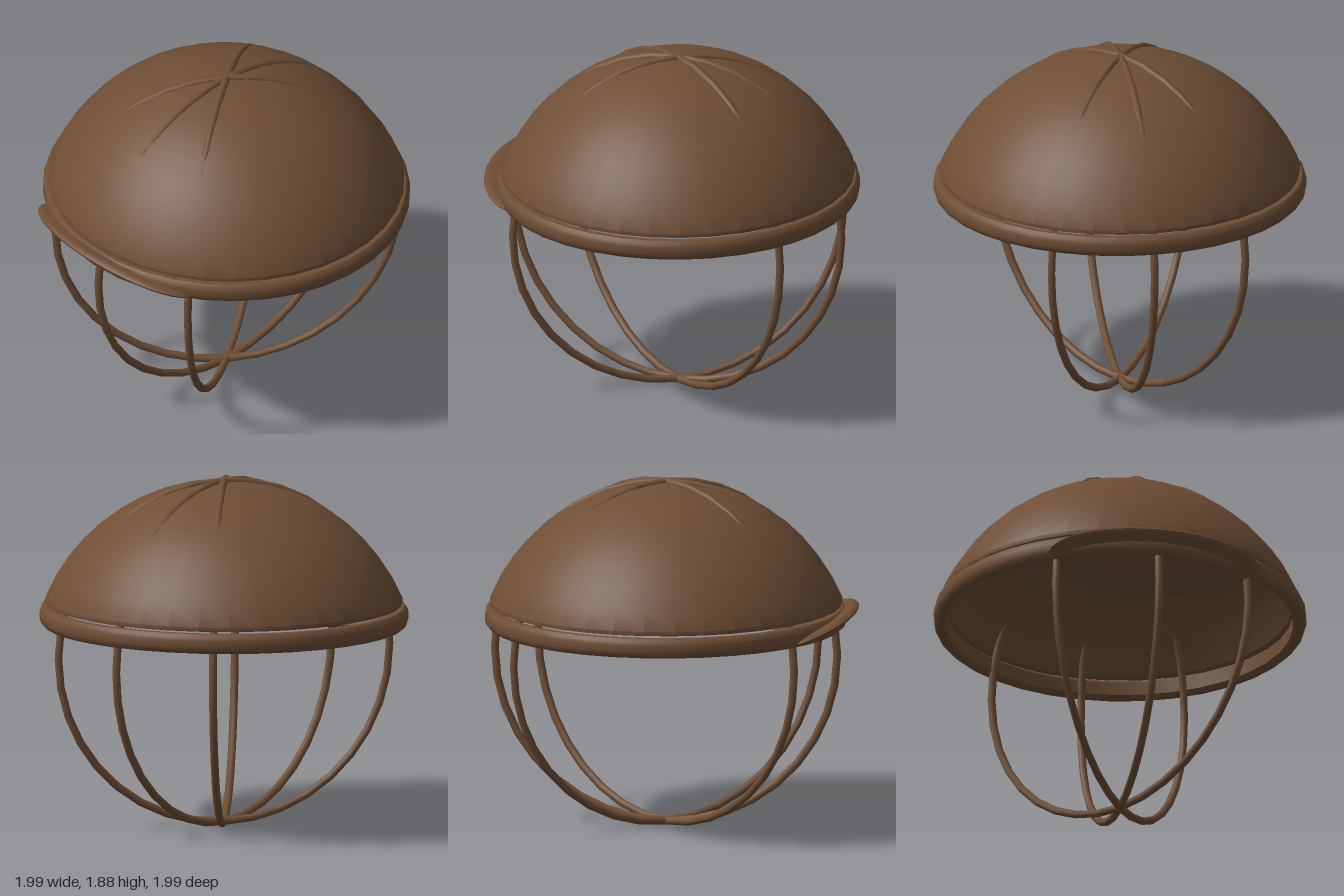
import * as THREE from 'three';
import { toCreasedNormals } from 'three/addons/utils/BufferGeometryUtils.js';

export function createModel() {
  const model = new THREE.Group();
  model.name = 'cagedHelmet';
  const brown = new THREE.MeshStandardMaterial({ color: 0x6f4e35 });
  brown.name = 'brown';

  // Everything but the brim sits slightly behind the middle
  const body = new THREE.Group();
  body.name = 'helmetBody';
  body.position.z = -0.028;
  model.add(body);

  const add = (parent, name, geometry) => {
    const mesh = new THREE.Mesh(geometry, brown);
    mesh.name = name;
    parent.add(mesh);
    return mesh;
  };
  const turned = (points, crease = 0.6) => toCreasedNormals(
    new THREE.LatheGeometry(points.map(([r, y]) => new THREE.Vector2(r, y)), 36), crease);

  // Points of a spherical cap, from its edge up to the pole
  const cap = (radius, centreY, edgeY, steps = 10) => {
    const start = Math.asin((edgeY - centreY) / radius);
    return Array.from({ length: steps + 1 }, (_, i) => {
      const a = start + (Math.PI / 2 - start) * i / steps;
      return [i === steps ? 0 : radius * Math.cos(a), centreY + radius * Math.sin(a)];
    });
  };

  // Hollow dome: inside going down, lip, outside going up
  const dome = add(body, 'dome', turned([
    ...cap(1.045, 0.705, 1.205).reverse(),
    [0.945, 1.2], [0.96, 1.204],
    ...cap(1.047, 0.813, 1.225),
  ]));
  dome.scale.z = 0.978;

  // Bevelled band under the dome
  const rim = add(body, 'rim', turned([
    [0.925, 1.1], [0.94, 1.085], [0.975, 1.085], [0.99, 1.1], [0.996, 1.12], [0.996, 1.155],
    [0.99, 1.175], [0.975, 1.19], [0.94, 1.19], [0.925, 1.175], [0.925, 1.1],
  ]));
  rim.scale.z = 0.97;

  // Three hoops crossing at the top and bottom
  [-35, 0, 35].forEach((angle, i) => {
    const hoop = add(body, ['rightHoop', 'middleHoop', 'leftHoop'][i],
      new THREE.TorusGeometry(0.92, 0.021, 8, 36));
    hoop.position.y = 0.941;
    hoop.rotation.y = Math.PI / 2 + THREE.MathUtils.degToRad(angle);
  });

  // Thin oval brim, tilted up at the front
  const brim = add(model, 'brim', turned([
    [0, -0.026], [0.6, -0.025], [0.9, -0.02], [0.98, -0.01], [1, 0],
    [0.98, 0.01], [0.9, 0.02], [0.6, 0.025], [0, 0.026],
  ], 0.9));
  brim.scale.set(0.575, 1, 0.258);
  brim.position.set(0, 1.105, 0.755);
  brim.rotation.x = -0.33;

  return model;
}
